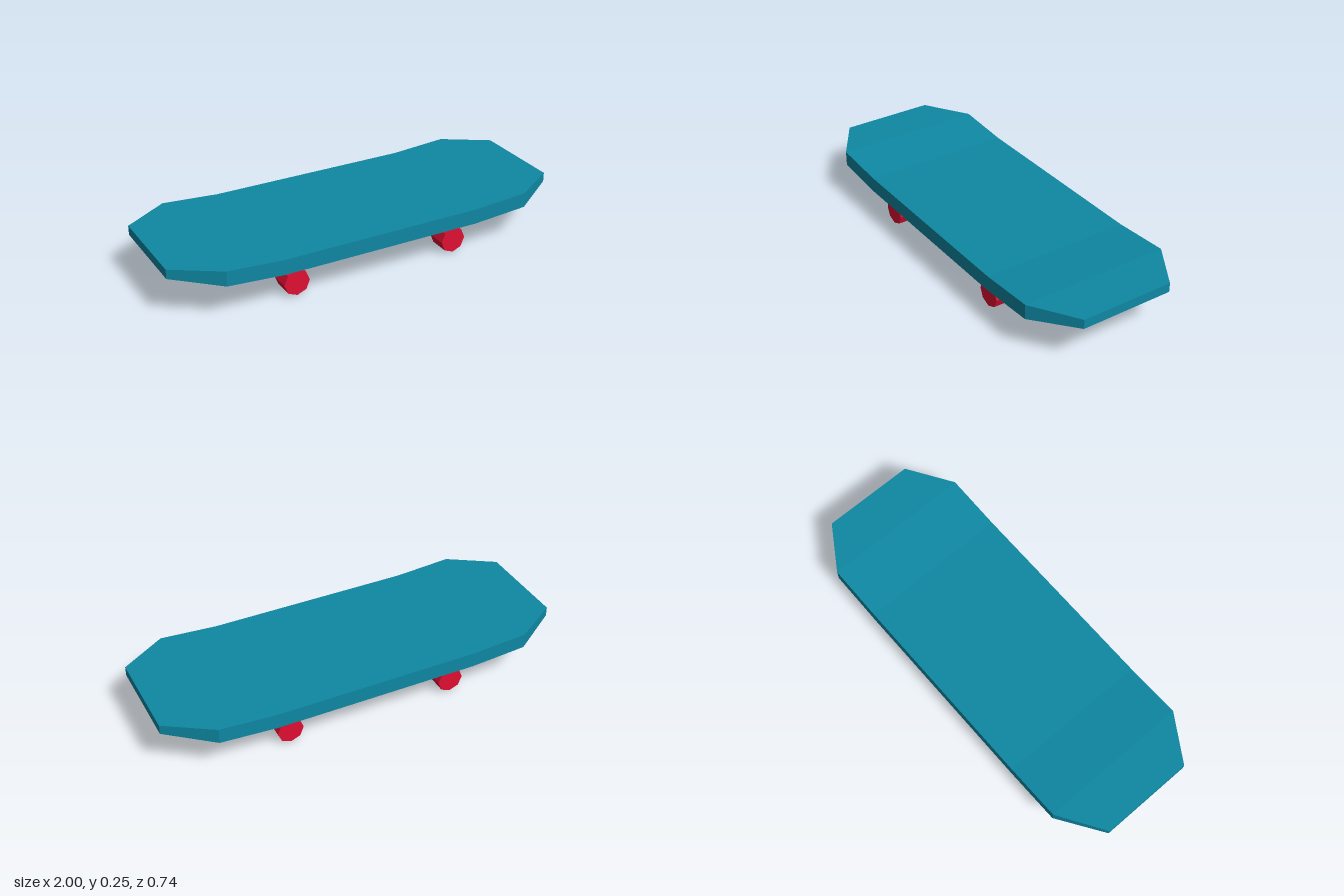
import * as THREE from 'three';

export function createModel() {
  const model = new THREE.Group();
  model.name = 'skateboard';

  const makeMaterial = (name, color) => {
    const material = new THREE.MeshStandardMaterial({ color, flatShading: true });
    material.name = name;
    return material;
  };
  const teal = makeMaterial('teal deck', 0x0f88a3);
  const red = makeMaterial('red wheel', 0xe00f32);
  const grey = makeMaterial('grey metal', 0x606060);

  const add = (parent, name, geometry, material, x, y, z) => {
    const mesh = new THREE.Mesh(geometry, material);
    mesh.name = name;
    mesh.position.set(x, y, z);
    parent.add(mesh);
  };

  // Deck: a segmented box bent to stations running from the middle to the tip
  const stations = [
    { x: 0.5, half: 0.37, top: 0.233, bottom: 0.158 },
    { x: 0.78, half: 0.37, top: 0.252, bottom: 0.178 },
    { x: 1, half: 0.23, top: 0.252, bottom: 0.206 },
  ];
  const deck = new THREE.BoxGeometry(5, 1, 1, 5, 1, 1);
  const p = deck.attributes.position;
  for (let i = 0; i < p.count; i++) {
    const s = stations[Math.round(Math.abs(p.getX(i)) - 0.5)];
    p.setXYZ(
      i,
      Math.sign(p.getX(i)) * s.x,
      p.getY(i) > 0 ? s.top : s.bottom,
      Math.sign(p.getZ(i)) * s.half
    );
  }
  deck.computeVertexNormals();
  add(model, 'deck', deck, teal, 0, 0, 0);

  // Trucks: post, axle and a pair of octagonal wheels at each end
  const radius = 0.064;
  const postGeometry = new THREE.BoxGeometry(0.038, 0.096, 0.028);
  const axleGeometry = new THREE.BoxGeometry(0.036, 0.02, 0.44);
  const wheelGeometry = new THREE.CylinderGeometry(radius, radius, 0.1, 8).rotateX(Math.PI / 2);
  for (const side of [-1, 1]) {
    const truck = new THREE.Group();
    truck.name = side > 0 ? 'leftTruck' : 'rightTruck';
    truck.position.x = side * 0.417;
    add(truck, 'post', postGeometry, grey, 0, 0.115, 0);
    add(truck, 'axle', axleGeometry, grey, 0, 0.067, 0);
    add(truck, 'frontWheel', wheelGeometry, red, 0, radius, 0.26);
    add(truck, 'backWheel', wheelGeometry, red, 0, radius, -0.26);
    model.add(truck);
  }

  return model;
}
